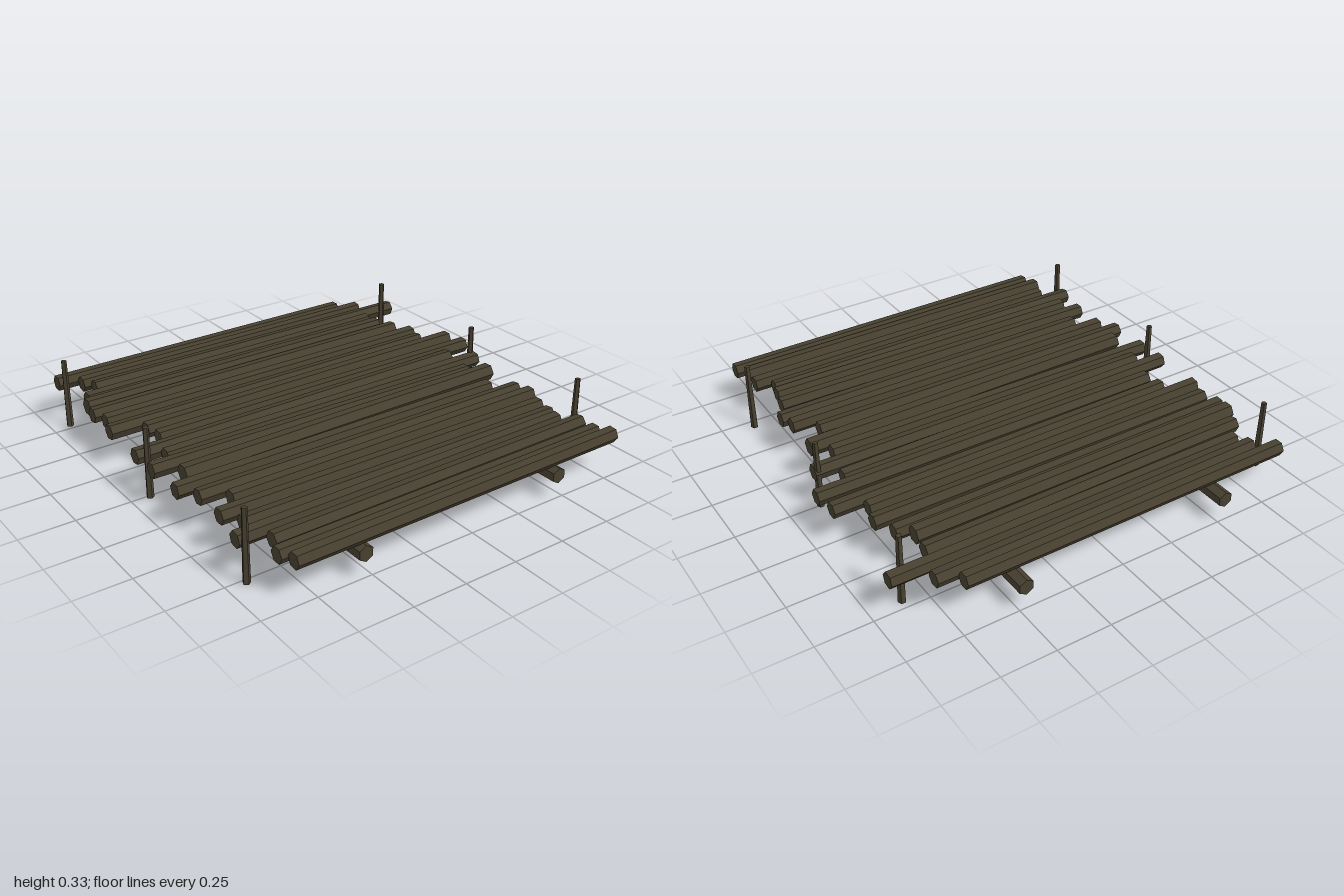
import * as THREE from 'three';

// Deck logs: left end x, right end x, z at left end, z at right end
const LOGS = [
  [-0.91, 0.69, -0.90, -0.90], [-0.82, 0.78, -0.825, -0.832], [-0.79, 0.93, -0.75, -0.745],
  [-0.87, 0.73, -0.66, -0.67], [-0.91, 0.72, -0.575, -0.575], [-0.92, 0.775, -0.505, -0.51],
  [-0.90, 0.815, -0.415, -0.408], [-0.93, 0.79, -0.318, -0.32], [-0.79, 0.92, -0.245, -0.252],
  [-0.78, 0.935, -0.152, -0.143], [-0.94, 0.78, -0.06, -0.075], [-0.835, 0.87, 0.012, 0.018],
  [-0.94, 0.74, 0.083, 0.105], [-0.855, 0.81, 0.195, 0.18], [-0.94, 0.71, 0.282, 0.292],
  [-0.89, 0.80, 0.375, 0.385], [-0.79, 0.82, 0.457, 0.457], [-0.895, 0.77, 0.545, 0.563],
  [-0.85, 0.75, 0.64, 0.652], [-0.93, 0.735, 0.718, 0.71], [-0.82, 0.80, 0.80, 0.79],
  [-0.86, 0.79, 0.893, 0.888], [-0.83, 0.83, 0.96, 0.95],
];

export function createModel() {
  const model = new THREE.Group();
  model.name = 'logPlatform';
  const bark = new THREE.MeshStandardMaterial({ color: 0x474030, flatShading: true });
  bark.name = 'dark brown bark';

  const add = (name, geometry, x, y, z) => {
    const mesh = new THREE.Mesh(geometry, bark);
    mesh.name = name;
    mesh.position.set(x, y, z);
    model.add(mesh);
    return mesh;
  };

  // Slightly askew hexagonal deck logs, two of them thicker
  LOGS.forEach(([x0, x1, z0, z1], i) => {
    const thick = i === 4 || i === 13;
    const r = thick ? 0.041 : 0.037;
    const geometry = new THREE.CylinderGeometry(r, r, Math.hypot(x1 - x0, z1 - z0), 6);
    geometry.rotateY(Math.sin(i * 2.4) * 0.16).rotateZ(-Math.PI / 2);
    const log = add('deckLog' + (i + 1), geometry, (x0 + x1) / 2, thick ? 0.178 : 0.169, (z0 + z1) / 2);
    log.rotation.y = -Math.atan2(z1 - z0, x1 - x0);
  });

  // Two beams under the deck
  for (const [name, x] of [['rightBeam', -0.53], ['leftBeam', 0.47]]) {
    add(name, new THREE.CylinderGeometry(0.036, 0.036, 2, 6).rotateX(Math.PI / 2), x, 0.105, 0);
  }

  // Upright five-sided stakes along both sides
  const stake = new THREE.CylinderGeometry(0.013, 0.017, 0.33, 5);
  for (const z of [-0.78, 0.01, 0.77]) add('rightStake', stake, -0.915, 0.165, z);
  for (const z of [-0.71, 0.0, 0.705]) add('leftStake', stake, 0.855, 0.165, z);

  return model;
}
